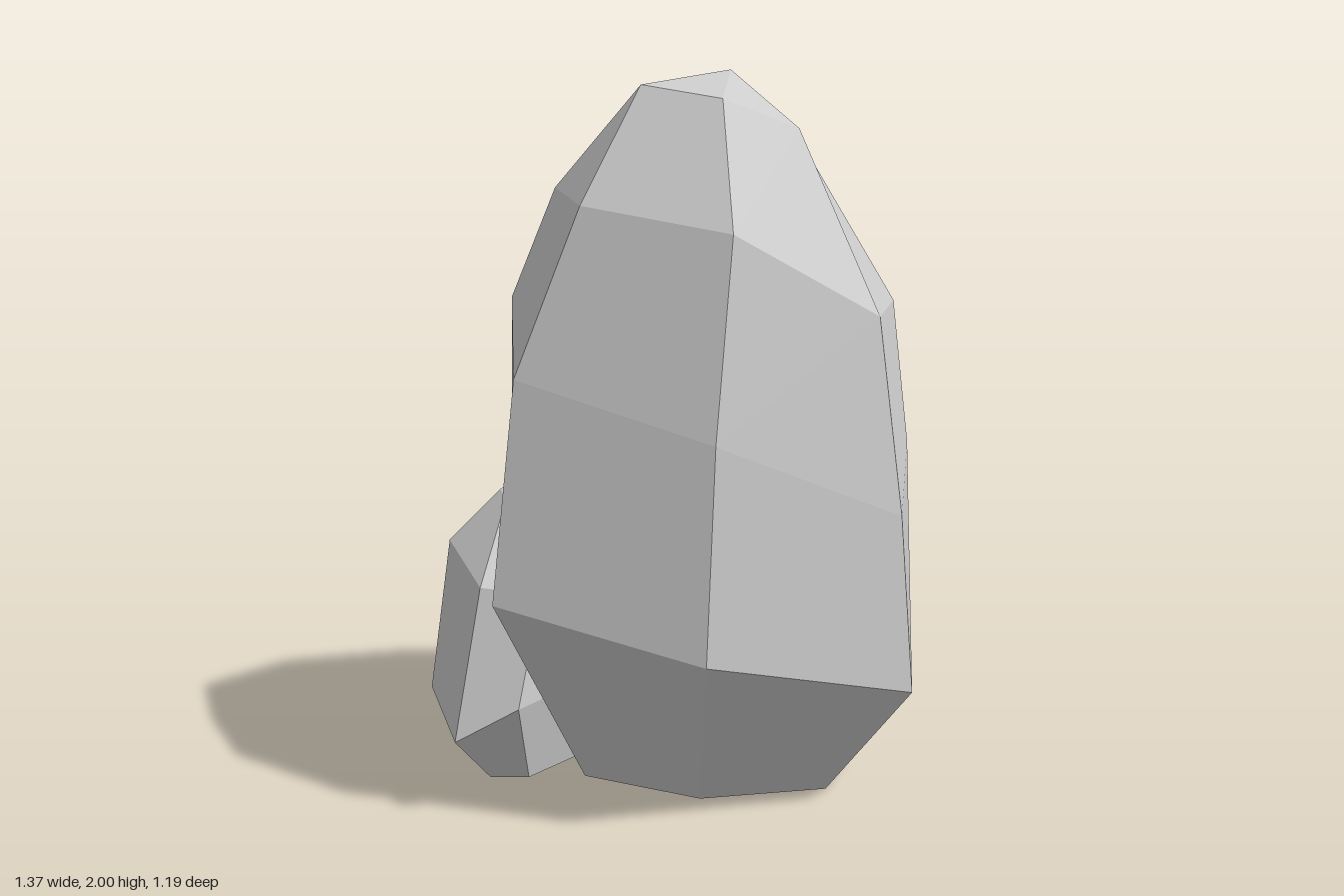
import * as THREE from 'three';

// Faceted hollow stone, open underneath. Ribs run top to bottom and
// follow each other front -> left side (+x) -> back. Each facet has one normal.
function stone(name, peak, ribs) {
  const pos = [];
  const normals = [];
  const facet = (a, b, c, d) => {
    const [A, B, C, D] = [a, b, c, d].map(p => new THREE.Vector3(...p));
    const n = C.sub(A).cross(D.sub(B)).normalize();
    pos.push(...a, ...b, ...c, ...a, ...c, ...d);
    for (let i = 0; i < 6; i++) normals.push(n.x, n.y, n.z);
  };
  ribs.forEach((rib, i) => {
    const next = ribs[(i + 1) % ribs.length];
    facet(rib[0], next[0], peak, peak);
    for (let k = 0; k < rib.length - 1; k++) facet(rib[k + 1], next[k + 1], next[k], rib[k]);
  });
  const geo = new THREE.BufferGeometry();
  geo.setAttribute('position', new THREE.Float32BufferAttribute(pos, 3));
  geo.setAttribute('normal', new THREE.Float32BufferAttribute(normals, 3));
  const mesh = new THREE.Mesh(geo, new THREE.MeshStandardMaterial({ color: 0xcccccc, side: THREE.DoubleSide }));
  mesh.name = name;
  return mesh;
}

export function createModel() {
  const group = new THREE.Group();
  group.name = 'rocks';

  // Tall main boulder, eight ribs
  group.add(stone('largeRock', [0.17, 2, -0.13], [
    [[0.15, 1.9, 0.15], [0.18, 1.55, 0.45], [0.14, 1.03, 0.53], [0.12, 0.48, 0.595], [0.1, 0.03, 0.35]],
    [[0.36, 1.83, 0], [0.57, 1.33, 0.22], [0.63, 0.81, 0.31], [0.66, 0.35, 0.38], [0.45, 0, 0.2]],
    [[0.41, 1.74, -0.16], [0.645, 1.35, -0.14], [0.685, 0.95, -0.06], [0.675, 0.58, 0], [0.53, 0.02, 0]],
    [[0.35, 1.77, -0.31], [0.49, 1.4, -0.43], [0.53, 0.97, -0.48], [0.47, 0.7, -0.41], [0.34, 0.08, -0.26]],
    [[0.19, 1.8, -0.33], [0.18, 1.55, -0.47], [0.15, 1.19, -0.595], [0.11, 0.83, -0.53], [0.07, 0.08, -0.445]],
    [[0, 1.84, -0.23], [-0.12, 1.67, -0.3], [-0.24, 1.39, -0.38], [-0.3, 0.94, -0.45], [-0.19, 0.08, -0.34]],
    [[-0.11, 1.87, -0.04], [-0.32, 1.67, -0.02], [-0.455, 1.36, -0.07], [-0.46, 0.95, -0.06], [-0.3, 0.08, 0]],
    [[-0.07, 1.94, 0.11], [-0.22, 1.62, 0.27], [-0.38, 1.18, 0.41], [-0.435, 0.6, 0.475], [-0.22, 0.06, 0.28]],
  ]));

  // Small stone leaning on its side, eight ribs
  group.add(stone('smallRock', [-0.44, 0.84, 0], [
    [[-0.48, 0.82, 0.05], [-0.62, 0.68, 0.09], [-0.685, 0.24, 0.08], [-0.57, 0.06, 0.08]],
    [[-0.45, 0.81, 0.12], [-0.49, 0.61, 0.34], [-0.55, 0.21, 0.43], [-0.48, 0.06, 0.3]],
    [[-0.4, 0.8, 0.13], [-0.33, 0.59, 0.33], [-0.38, 0.3, 0.42], [-0.37, 0.07, 0.32]],
    [[-0.38, 0.8, 0.08], [-0.26, 0.6, 0.18], [-0.22, 0.32, 0.22], [-0.24, 0.08, 0.17]],
    [[-0.37, 0.8, 0], [-0.22, 0.64, 0], [-0.14, 0.42, 0], [-0.23, 0.08, 0]],
    [[-0.38, 0.81, -0.06], [-0.3, 0.66, -0.2], [-0.21, 0.45, -0.25], [-0.28, 0.08, -0.17]],
    [[-0.42, 0.82, -0.1], [-0.42, 0.66, -0.26], [-0.4, 0.43, -0.34], [-0.43, 0.08, -0.23]],
    [[-0.46, 0.82, -0.08], [-0.55, 0.68, -0.18], [-0.66, 0.24, -0.29], [-0.56, 0.06, -0.16]],
  ]));

  return group;
}
